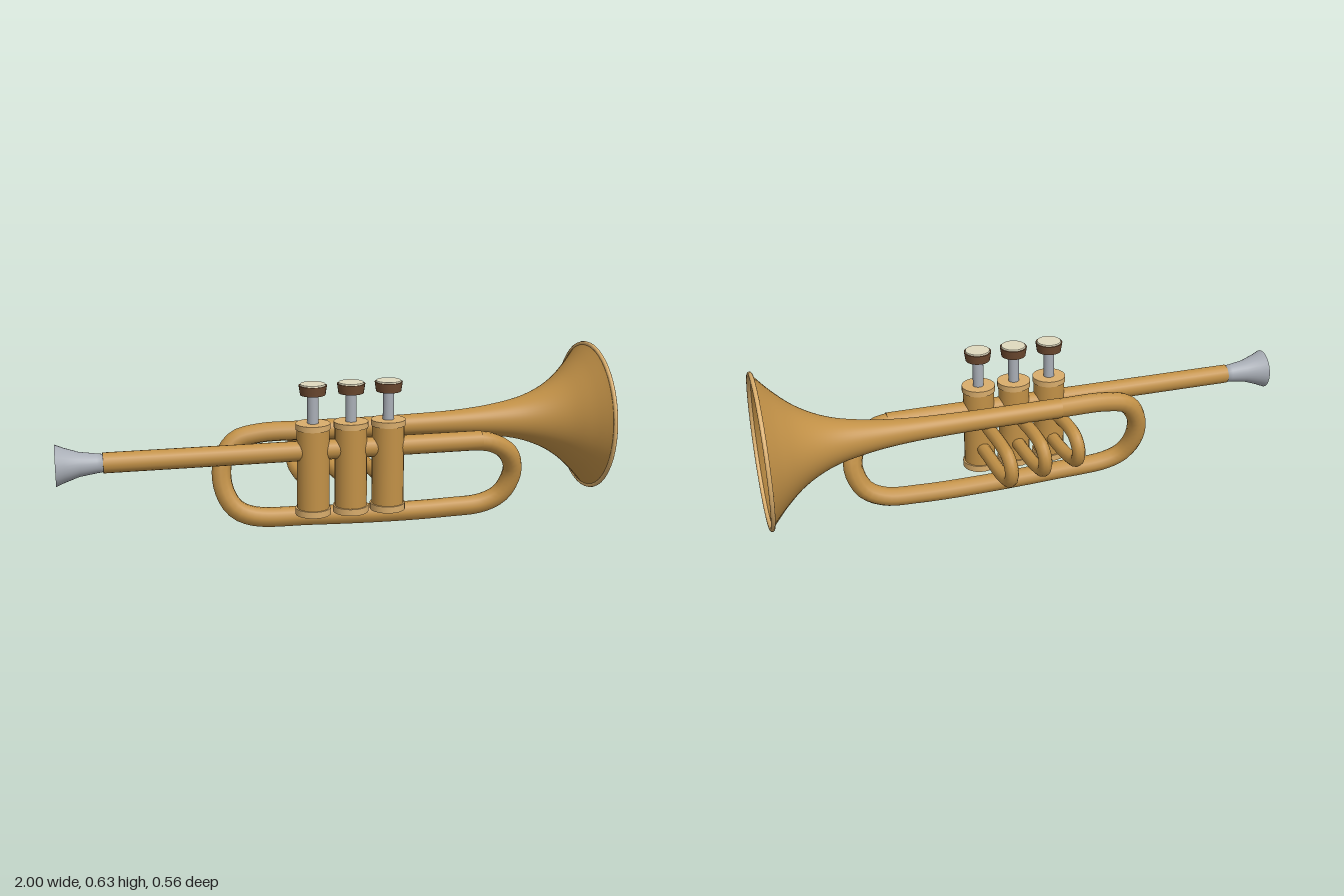
import * as THREE from 'three';

export function createModel() {
  const group = new THREE.Group();
  const mat = (name, color, side = THREE.FrontSide) => {
    const m = new THREE.MeshStandardMaterial({ color, side });
    m.name = name;
    return m;
  };
  const brass = mat('brass', 0xc29147, THREE.DoubleSide);
  const paleBrass = mat('paleBrass', 0xd9ad6c);
  const silver = mat('silver', 0xa9aeb6);
  const brown = mat('brown', 0x6e4a30);
  const pearl = mat('pearl', 0xe0d9be);

  const add = (name, geometry, material, x = 0, y = 0, z = 0, parent = group) => {
    const mesh = new THREE.Mesh(geometry, material);
    mesh.name = name;
    mesh.position.set(x, y, z);
    parent.add(mesh);
    return mesh;
  };
  // Upright cylinder between two heights
  const post = (name, r0, r1, y0, y1, material, x, z, parent) =>
    add(name, new THREE.CylinderGeometry(r1, r0, y1 - y0, 24), material, x, (y0 + y1) / 2, z, parent);
  // Profile of [x, radius] turned about the x axis
  const turned = (profile, segments) =>
    new THREE.LatheGeometry(profile.map(([x, r]) => new THREE.Vector2(r, x)), segments).rotateZ(-Math.PI / 2);
  const pipe = (points, r, segments) => {
    const curve = new THREE.CatmullRomCurve3(points.map(p => new THREE.Vector3(...p)), false, 'centripetal');
    return new THREE.TubeGeometry(curve, segments, r, 10);
  };

  const bellY = 0.35, leadY = 0.315, valveZ = 0.15, pipeR = 0.036;

  // Flared bell with its rim
  const flare = new THREE.SplineCurve([
    [-0.1, 0.037], [0.2, 0.037], [0.4, 0.041], [0.52, 0.048], [0.62, 0.06], [0.72, 0.08],
    [0.8, 0.11], [0.87, 0.152], [0.93, 0.205], [0.97, 0.248], [0.99, 0.272],
  ].map(p => new THREE.Vector2(...p))).getPoints(40).map(p => [p.x, p.y]);
  add('bell', turned(flare, 48), brass, 0, bellY, 0);
  add('bellRim', new THREE.TorusGeometry(0.272, 0.008, 10, 48).rotateY(Math.PI / 2), paleBrass, 0.992, bellY, 0);

  // Straight lead pipe running through the valves
  add('leadPipe', new THREE.CylinderGeometry(pipeR, pipeR, 1.36, 20).rotateZ(Math.PI / 2), brass, -0.16, leadY, valveZ);

  // Main loop: front bend, lower run, rear bend, back into the bell
  add('mainLoop', pipe([
    [0.48, leadY, valveZ], [0.56, 0.305, 0.147], [0.635, 0.255, 0.13], [0.663, 0.18, 0.105],
    [0.63, 0.09, 0.085], [0.56, 0.05, 0.075], [0.42, 0.039, 0.07], [0.2, 0.037, 0.07],
    [-0.1, 0.046, 0.07], [-0.31, 0.058, 0.07], [-0.375, 0.09, 0.06], [-0.412, 0.16, 0.038],
    [-0.412, 0.25, 0.018], [-0.365, 0.325, 0.003], [-0.28, 0.348, 0], [-0.08, bellY, 0],
  ], pipeR, 80), brass);

  // Mouthpiece with a closed end
  add('mouthpiece', turned([
    [-0.83, 0], [-0.83, 0.03], [-0.86, 0.034], [-0.92, 0.043], [-0.97, 0.06], [-1, 0.073],
  ].reverse(), 28), mat('silverShell', 0xa9aeb6, THREE.DoubleSide), 0, leadY, valveZ);
  add('mouthpieceEnd', new THREE.CircleGeometry(0.073, 28).rotateY(-Math.PI / 2), silver, -1, leadY, valveZ);

  // Three valves, each with a slide loop reaching further back
  [[-0.105, -0.14], [0.033, -0.172], [0.17, -0.209]].forEach(([x, back], i) => {
    const valve = new THREE.Group();
    valve.name = 'valve' + (i + 1);
    group.add(valve);
    post('casing', 0.058, 0.058, 0.1, 0.4, brass, x, valveZ, valve);
    post('bottomCap', 0.064, 0.064, 0.08, 0.104, paleBrass, x, valveZ, valve);
    post('topCap', 0.062, 0.062, 0.394, 0.415, paleBrass, x, valveZ, valve);
    post('stem', 0.02, 0.02, 0.41, 0.525, silver, x, valveZ, valve);
    post('button', 0.045, 0.05, 0.518, 0.552, brown, x, valveZ, valve);
    post('buttonTop', 0.046, 0.044, 0.551, 0.557, pearl, x, valveZ, valve);
    add('slideLoop', pipe([
      [x, 0.3, 0.13], [x, 0.3, 0.02], [x - 0.008, 0.3, back + 0.09], [x - 0.014, 0.285, back + 0.025],
      [x - 0.02, 0.238, back], [x - 0.02, 0.19, back + 0.02], [x - 0.014, 0.173, back + 0.08],
      [x - 0.005, 0.172, 0.02], [x, 0.172, 0.13],
    ], 0.025, 40), brass, 0, 0, 0, valve);
  });

  return group;
}
